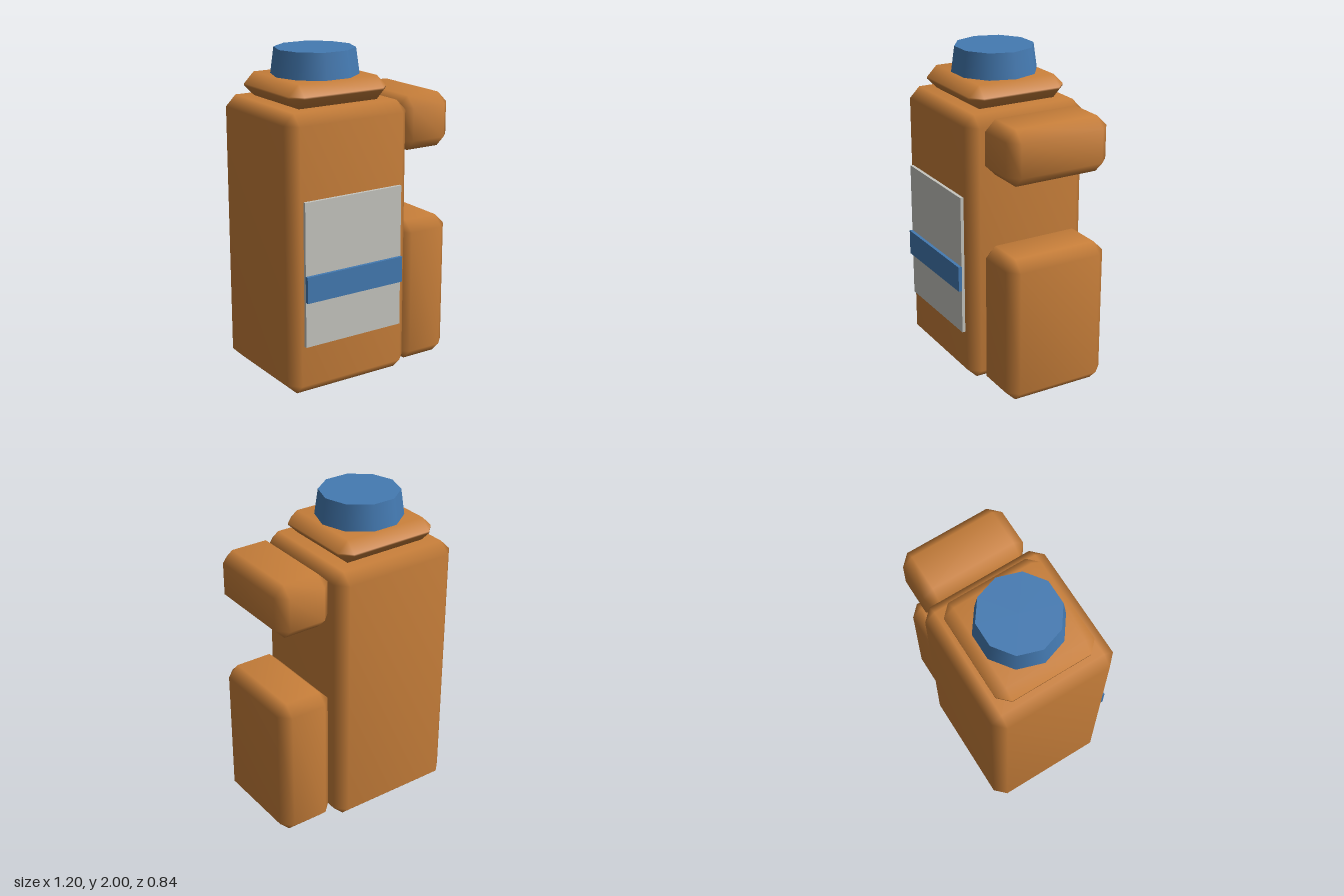
import * as THREE from 'three';

const material = (name, color) => Object.assign(new THREE.MeshStandardMaterial({ color }), { name });

// Box between two corners with every edge cut by one chamfer, smooth-shaded
function chamferBox([x0, y0, z0], [x1, y1, z1], b) {
  const hx = (x1 - x0) / 2, hy = (y1 - y0) / 2, hz = (z1 - z0) / 2;
  const corners = [[1, 1], [-1, 1], [-1, -1], [1, -1]];
  const pos = [], index = [];
  const rectangle = (y) => corners.forEach(([sx, sz]) => pos.push(sx * (hx - b), y, sz * (hz - b)));
  const octagon = (y) => corners.forEach(([sx, sz], i) => {
    const onX = [sx * hx, y, sz * (hz - b)], onZ = [sx * (hx - b), y, sz * hz];
    pos.push(...(i % 2 ? [...onZ, ...onX] : [...onX, ...onZ]));
  });
  rectangle(-hy);
  octagon(-hy + b);
  octagon(hy - b);
  rectangle(hy);

  // Join the four rings; the end rings have one point per corner
  const at = (ring, i) => [i % 8 >> 1, 4 + i % 8, 12 + i % 8, 20 + (i % 8 >> 1)][ring];
  const tri = (p, q, r) => { if (p !== q && q !== r && p !== r) index.push(p, q, r); };
  for (let ring = 0; ring < 3; ring++) {
    for (let i = 0; i < 8; i++) {
      const a = at(ring, i), n = at(ring, i + 1), u = at(ring + 1, i), v = at(ring + 1, i + 1);
      tri(a, v, n);
      tri(a, u, v);
    }
  }
  index.push(0, 1, 2, 0, 2, 3, 20, 22, 21, 20, 23, 22);

  const geometry = new THREE.BufferGeometry();
  geometry.setAttribute('position', new THREE.Float32BufferAttribute(pos, 3));
  geometry.setIndex(index);
  geometry.computeVertexNormals();
  return geometry.translate((x0 + x1) / 2, (y0 + y1) / 2, (z0 + z1) / 2);
}

function plate([x0, y0, z0], [x1, y1, z1]) {
  return new THREE.BoxGeometry(x1 - x0, y1 - y0, z1 - z0)
    .translate((x0 + x1) / 2, (y0 + y1) / 2, (z0 + z1) / 2);
}

export function createModel() {
  const model = new THREE.Group();
  model.name = 'bottle';
  const orange = material('orange plastic', 0xc87f3a);
  const blue = material('blue plastic', 0x447ab2);
  const grey = material('label grey', 0xc6c6c0);
  const add = (name, geometry, mat) => {
    const mesh = new THREE.Mesh(geometry, mat);
    mesh.name = name;
    model.add(mesh);
  };

  // Bottle body and shoulder
  const bevel = 0.066;
  add('body', chamferBox([-0.6, 0, -0.42], [0.24, 1.7, 0.38], bevel), orange);
  add('shoulder', chamferBox([-0.517, 1.7, -0.34], [0.155, 1.843, 0.3], bevel), orange);

  // Two halves of the side grip
  add('upperGrip', chamferBox([0.238, 1.365, -0.355], [0.6, 1.7, 0.315], bevel), orange);
  add('lowerGrip', chamferBox([0.238, 0, -0.355], [0.6, 0.92, 0.315], bevel), orange);

  // Ten-sided tapered cap with corners on the x axis
  const cap = new THREE.CylinderGeometry(0.243, 0.265, 0.16, 10)
    .rotateY(Math.PI / 10)
    .translate(-0.18, 1.92, -0.02);
  add('cap', cap, blue);

  // Front label and its stripe
  add('label', plate([-0.517, 0.32, 0.375], [0.155, 1.2, 0.4]), grey);
  add('labelStripe', plate([-0.517, 0.6, 0.398], [0.155, 0.76, 0.42]), blue);

  return model;
}
